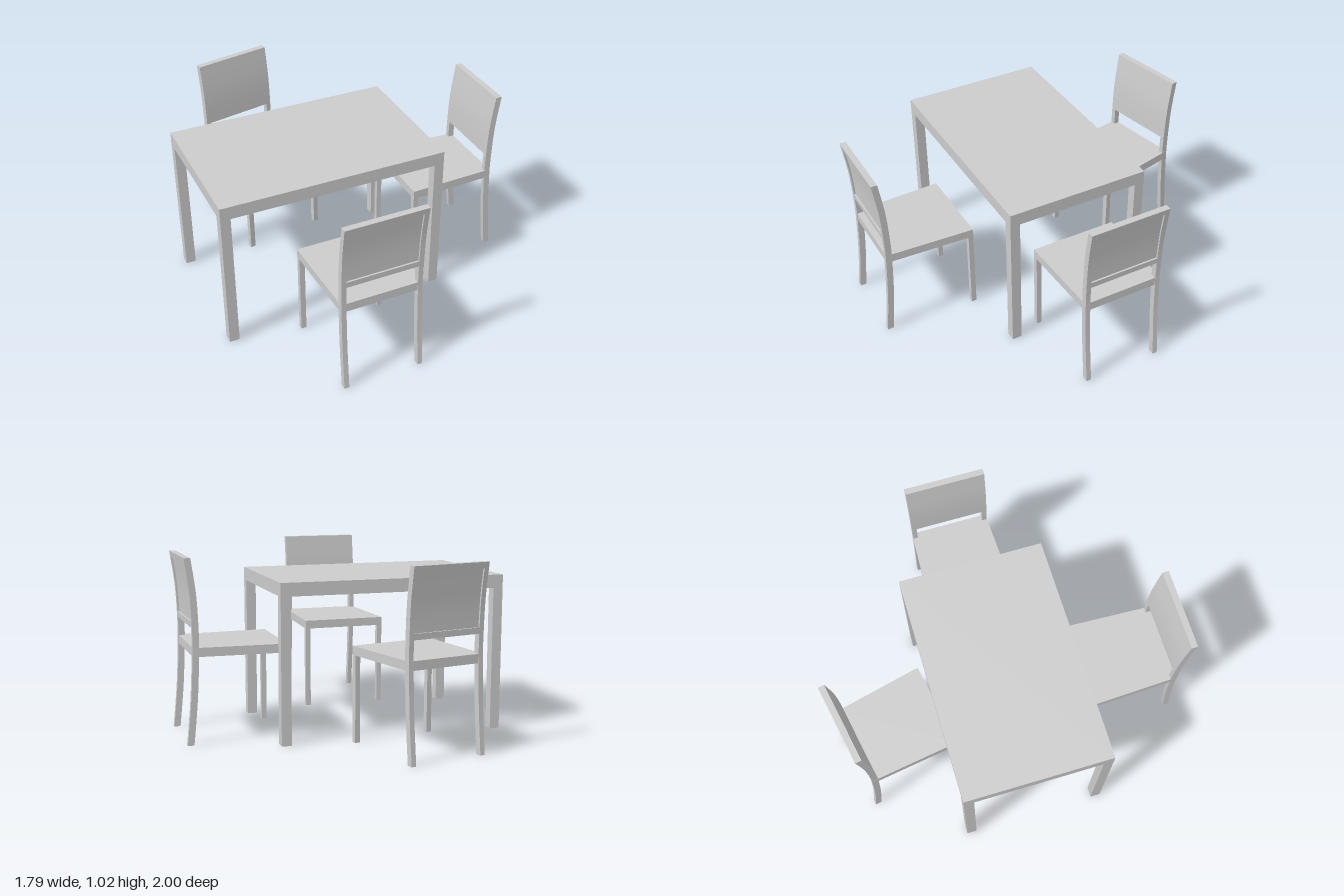
import * as THREE from 'three';
import { toCreasedNormals } from 'three/addons/utils/BufferGeometryUtils.js';

const material = new THREE.MeshStandardMaterial({ color: 0xcccccc });

function add(parent, name, geometry, x = 0, y = 0, z = 0) {
  const mesh = new THREE.Mesh(geometry, material);
  mesh.name = name;
  mesh.position.set(x, y, z);
  parent.add(mesh);
  return mesh;
}

// Rear face of the bowed chair back: x = depth, y = height
const bow = new THREE.SplineCurve([
  [0, 0], [0.024, 0.25], [0.036, 0.49], [0.037, 0.62], [0.027, 0.83], [0, 1.025],
].map(([z, y]) => new THREE.Vector2(z, y)));
const bowPoints = bow.getPoints(80);
const THICK = 0.036;

function bowDepth(y) {
  const i = Math.max(1, bowPoints.findIndex((p) => p.y >= y - 1e-6));
  const a = bowPoints[i - 1], b = bowPoints[i];
  return THREE.MathUtils.lerp(a.x, b.x, (y - a.y) / (b.y - a.y));
}

// A strip following the bow between two heights, spanning x0..x1
function bowedStrip(y0, y1, x0, x1, near = 0, far = THICK, steps = 12) {
  const rear = [], front = [];
  for (let i = 0; i <= steps; i++) {
    const y = THREE.MathUtils.lerp(y0, y1, i / steps);
    const z = bowDepth(y);
    rear.push(new THREE.Vector2(z + near, y));
    front.unshift(new THREE.Vector2(z + far, y));
  }
  const geometry = new THREE.ExtrudeGeometry(new THREE.Shape([...rear, ...front]), {
    depth: x1 - x0, bevelEnabled: false,
  });
  geometry.rotateY(-Math.PI / 2).translate(x1, 0, 0);
  return toCreasedNormals(geometry, 0.5);
}

// Chair facing +z, with the rearmost edge of its back on z = 0
function createChair(name) {
  const chair = new THREE.Group();
  chair.name = name;
  const half = 0.231, stile = 0.028;

  // Tapered seat
  const outline = new THREE.Shape([
    [-0.2525, -0.56], [0.2525, -0.56], [half, -0.04], [-half, -0.04],
  ].map(([x, y]) => new THREE.Vector2(x, y)));
  const seat = new THREE.ExtrudeGeometry(outline, { depth: 0.05, bevelEnabled: false });
  seat.rotateX(-Math.PI / 2);
  add(chair, 'seat', seat, 0, 0.49, 0);

  // Front legs and full-height rear posts
  for (const side of [-1, 1]) {
    add(chair, 'frontLeg', new THREE.BoxGeometry(0.03, 0.49, 0.03), side * 0.2365, 0.245, 0.545);
    const inner = side * (half - stile), outer = side * half;
    add(chair, 'rearPost', bowedStrip(0, 1.025, Math.min(inner, outer), Math.max(inner, outer), 0, THICK, 28));
  }

  // Rails and the panel set in from the rear
  const x = half - stile;
  add(chair, 'lowerRail', bowedStrip(0.647, 0.68, -x, x, 0, THICK, 2));
  add(chair, 'topRail', bowedStrip(0.992, 1.025, -x, x, 0, THICK, 2));
  add(chair, 'backPanel', bowedStrip(0.68, 0.992, -x, x, 0.01, THICK));
  return chair;
}

function createTable() {
  const table = new THREE.Group();
  table.name = 'table';
  const w = 1.305, d = 0.834, leg = 0.057;
  table.position.set(-0.2425, 0, -0.013);

  add(table, 'tableTop', new THREE.BoxGeometry(w, 0.025, d), 0, 0.8825, 0);

  // Apron frame, open underneath
  const rect = (T, hw, hd) => new T([[-hw, -hd], [hw, -hd], [hw, hd], [-hw, hd]]
    .map(([x, y]) => new THREE.Vector2(x, y)));
  const frame = rect(THREE.Shape, w / 2, d / 2);
  frame.holes.push(rect(THREE.Path, w / 2 - leg, d / 2 - leg));
  const apron = new THREE.ExtrudeGeometry(frame, { depth: 0.05, bevelEnabled: false });
  apron.rotateX(-Math.PI / 2);
  add(table, 'apron', apron, 0, 0.82, 0);

  for (const sx of [-1, 1]) {
    for (const sz of [-1, 1]) {
      add(table, 'tableLeg', new THREE.BoxGeometry(leg, 0.82, leg),
        sx * (w - leg) / 2, 0.41, sz * (d - leg) / 2);
    }
  }
  return table;
}

export function createModel() {
  const model = new THREE.Group();
  model.name = 'diningSet';
  model.add(createTable());

  // Chairs around the table: x, z, turn
  const places = [
    ['frontChair', -0.241, 1.0, Math.PI],
    ['sideChair', 0.893, -0.03, -Math.PI / 2],
    ['rearChair', -0.3425, -0.955, 0.195],
  ];
  for (const [name, x, z, turn] of places) {
    const chair = createChair(name);
    chair.position.set(x, 0, z);
    chair.rotation.y = turn;
    model.add(chair);
  }
  return model;
}
